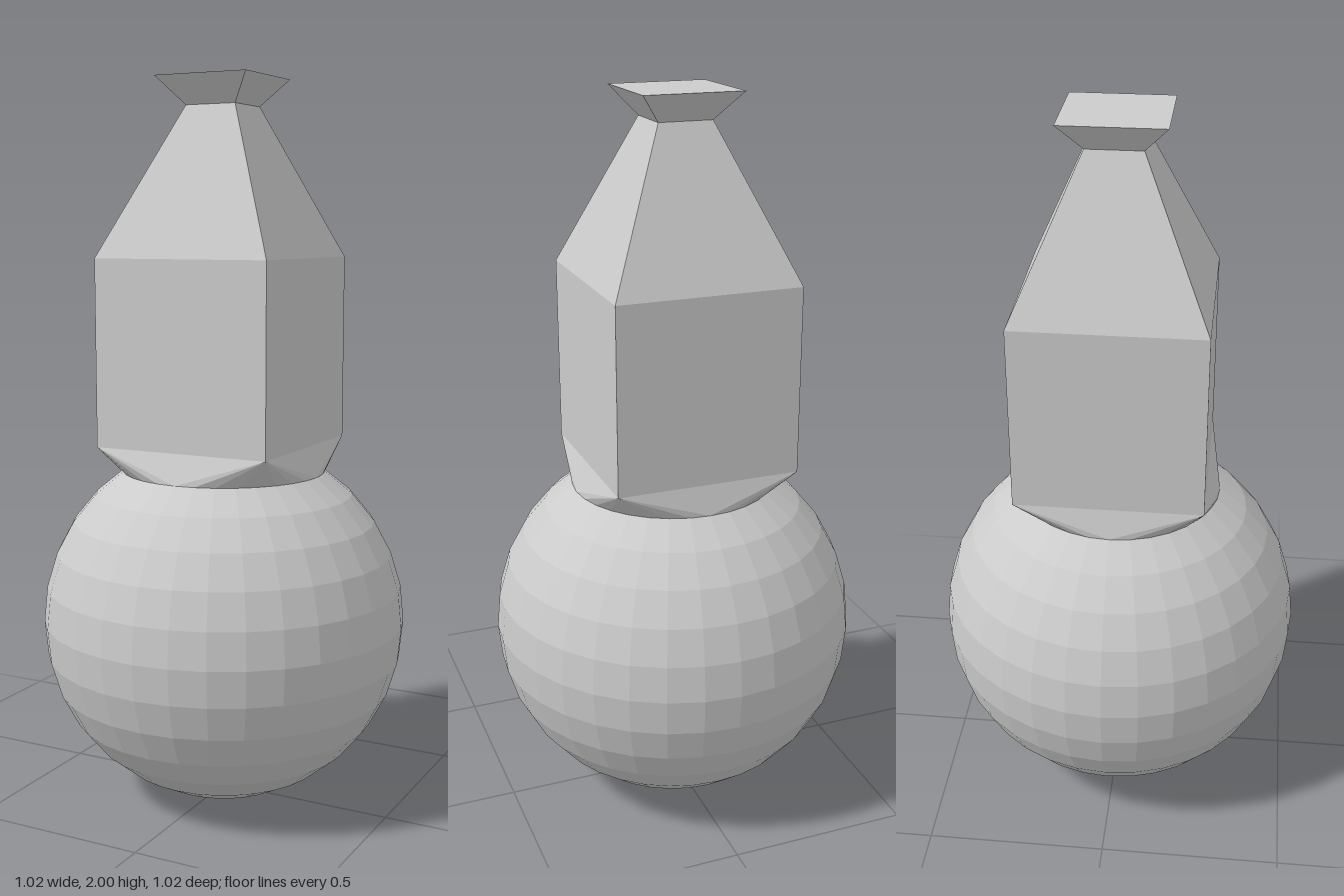
import * as THREE from 'three';

const R = 0.508;               // ball radius
const STEP = Math.PI / 16;     // one facet of the ball
const CUT = 3 * STEP;          // polar angle where the ball opens into the collar
const OFFSET = -0.006;         // slight shift of the square column
const BASE_Y = 1.01, BASE_HALF = 0.2545;

const material = new THREE.MeshStandardMaterial({ color: 0xcccccc, flatShading: true });

function part(name, geometry) {
  const mesh = new THREE.Mesh(geometry, material);
  mesh.name = name;
  return mesh;
}

// Collar joining the round opening of the ball to the square column
function collarGeometry() {
  const ringY = R + R * Math.cos(CUT), ringR = R * Math.sin(CUT);
  const ring = i => [ringR * Math.sin(i * STEP), ringY, ringR * Math.cos(i * STEP)];
  const corner = k => {
    const a = Math.PI / 4 + k * Math.PI / 2, r = BASE_HALF * Math.SQRT2;
    return [OFFSET + r * Math.sin(a), BASE_Y, OFFSET + r * Math.cos(a)];
  };
  const positions = [];
  for (let k = 0; k < 4; k++) {
    // One triangle under each side, then a fan under each corner
    positions.push(...corner(k - 1), ...ring(8 * k), ...corner(k));
    for (let i = 8 * k; i < 8 * k + 8; i++) {
      positions.push(...corner(k), ...ring(i), ...ring(i + 1));
    }
  }
  const geometry = new THREE.BufferGeometry();
  geometry.setAttribute('position', new THREE.Float32BufferAttribute(positions, 3));
  geometry.computeVertexNormals();
  return geometry;
}

// Square section swept up through [half width, height] pairs
function squareLoft(profile) {
  const points = profile.map(([half, y]) => new THREE.Vector2(half * Math.SQRT2, y));
  return new THREE.LatheGeometry(points, 4, Math.PI / 4).translate(OFFSET, 0, OFFSET);
}

export function createModel() {
  const model = new THREE.Group();
  model.name = 'squareNeckFlask';

  // Faceted ball, open at the top
  const ball = new THREE.SphereGeometry(R, 32, 13, 0, Math.PI * 2, CUT, Math.PI - CUT);
  model.add(part('ball', ball.translate(0, R, 0)));

  model.add(part('collar', collarGeometry()));

  // Straight column with tapering shoulder
  model.add(part('column', squareLoft([[BASE_HALF, BASE_Y], [BASE_HALF, 1.52], [0.074, 1.925]])));

  // Flared, closed cap
  model.add(part('cap', squareLoft([[0.074, 1.925], [0.136, 2], [0, 2]])));

  return model;
}
